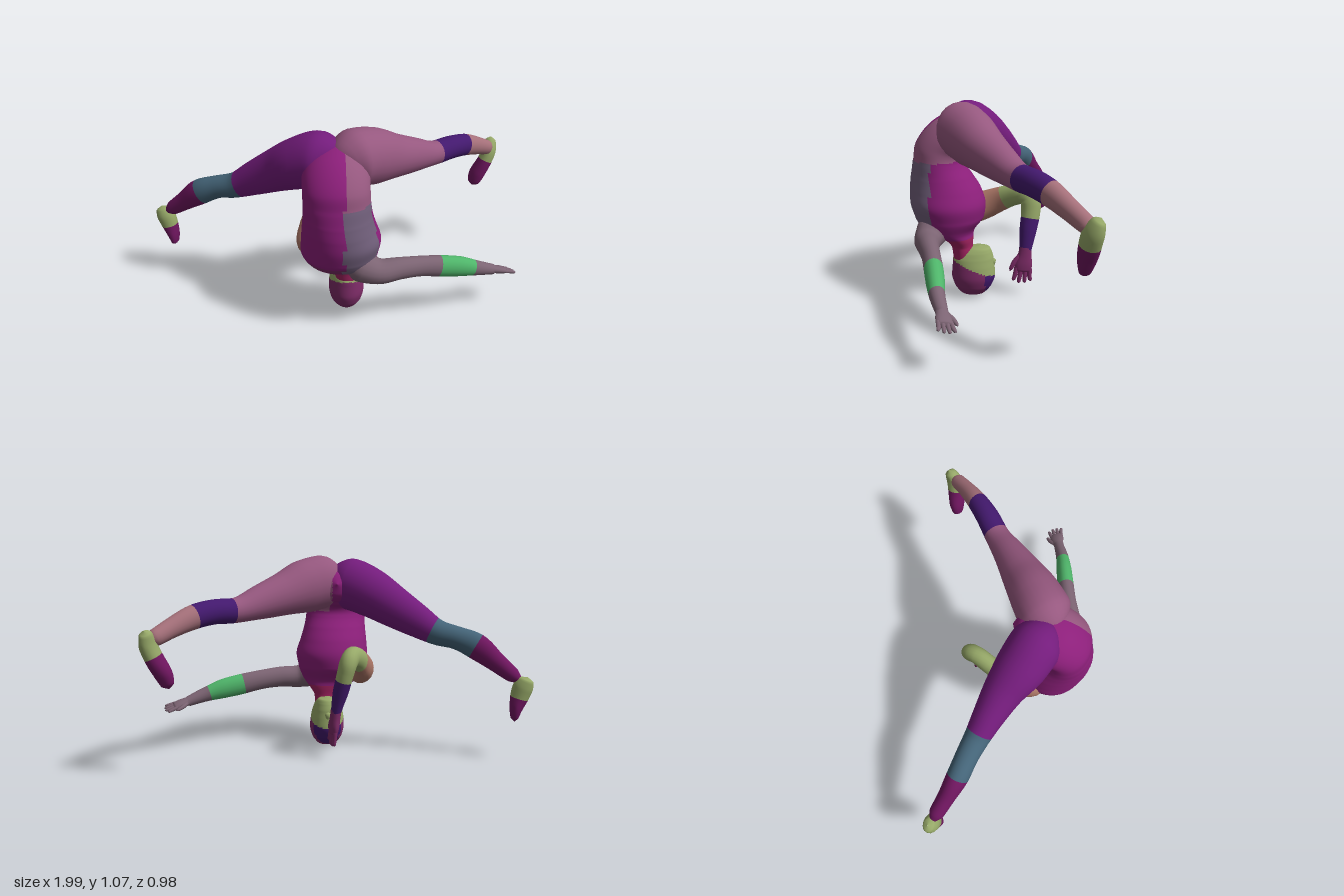
import * as THREE from 'three';

const V = (a) => new THREE.Vector3(a[0], a[1], a[2]);
const C = {
  magenta: 0x8c1f7a, purple: 0x741c7c, mauve: 0x96587f, lavender: 0x72607c, indigo: 0x43196e,
  rose: 0xa5707a, olive: 0x96a868, green: 0x4fb56a, teal: 0x446478, plum: 0x701660,
  taupe: 0x7c6473, clay: 0xae7868, crimson: 0xa0225f, wine: 0x7c2b66,
};
const materials = {};
const material = (key) => (materials[key] ??= new THREE.MeshStandardMaterial({ color: C[key] }));

// Smooth body through elliptical rings [x, y, z, halfWidth, halfDepth, tilt].
// "axis" is the direction of the half widths; pick(point, t) names the colour.
// Rings stand square to the path unless a forward tilt from level is given.
function loft(name, rings, axis, pick, sides = 20, per = 5) {
  const path = new THREE.CatmullRomCurve3(rings.map(V));
  const size = new THREE.CatmullRomCurve3(rings.map((r) => new THREE.Vector3(r[3], r[4], r[5] ?? 0)));
  const tilted = rings[0].length > 5;
  const n = (rings.length - 1) * per;
  const pos = [];
  for (let i = 0; i <= n; i++) {
    const c = path.getPoint(i / n), s = size.getPoint(i / n);
    const t = tilted ? new THREE.Vector3(0, Math.cos(s.z), -Math.sin(s.z)) : path.getTangent(i / n);
    const w = V(axis).addScaledVector(t, -V(axis).dot(t)).normalize();
    const d = new THREE.Vector3().crossVectors(t, w);
    for (let j = 0; j < sides; j++) {
      const a = (j / sides) * Math.PI * 2;
      const p = c.clone()
        .addScaledVector(w, Math.cos(a) * Math.max(s.x, 0.001))
        .addScaledVector(d, Math.sin(a) * Math.max(s.y, 0.001));
      pos.push(p.x, p.y, p.z);
    }
  }
  const faces = {}, all = [];
  const point = (k) => V(pos.slice(k * 3, k * 3 + 3));
  for (let i = 0; i < n; i++) {
    for (let j = 0; j < sides; j++) {
      const k = (j + 1) % sides;
      const a = i * sides + j, b = i * sides + k, c = a + sides, d = b + sides;
      const key = pick(point(a).add(point(d)).multiplyScalar(0.5), (i + 0.5) / n);
      (faces[key] ??= []).push(a, b, c, b, d, c);
      all.push(a, b, c, b, d, c);
    }
  }
  const base = new THREE.BufferGeometry();
  base.setAttribute('position', new THREE.Float32BufferAttribute(pos, 3));
  base.setIndex(all);
  base.computeVertexNormals();
  // One mesh per colour, sharing the smooth normals
  const group = new THREE.Group();
  group.name = name;
  for (const key in faces) {
    const g = base.clone();
    g.setIndex(faces[key]);
    const mesh = new THREE.Mesh(g, material(key));
    mesh.name = `${name} ${key}`;
    group.add(mesh);
  }
  return group;
}

// Palm, four fingers and a thumb
function hand(name, wrist, dir, side, length, key) {
  const group = new THREE.Group();
  group.name = name;
  const o = V(wrist), f = V(dir).normalize();
  const s = V(side).addScaledVector(f, -V(side).dot(f)).normalize();
  const at = (u, v, w, d) => [...o.clone().addScaledVector(f, u * length).addScaledVector(s, v * length).toArray(), w * length, d * length];
  const one = () => key;
  group.add(loft('palm', [at(-0.1, 0, 0.17, 0.15), at(0.15, 0, 0.2, 0.14), at(0.4, 0, 0.25, 0.13),
    at(0.58, 0, 0.23, 0.1), at(0.64, 0, 0, 0)], s.toArray(), one, 14, 4));
  for (let i = 0; i < 4; i++) {
    const v = (i - 1.5) * 0.125, tip = 0.98 - Math.abs(i - 1.6) * 0.06;
    group.add(loft('finger', [at(0.5, v, 0.07, 0.07), at(0.75, v * 1.15, 0.065, 0.06),
      at(tip - 0.04, v * 1.3, 0.05, 0.045), at(tip, v * 1.3, 0, 0)], s.toArray(), one, 8, 3));
  }
  group.add(loft('thumb', [at(0.12, 0.1, 0.08, 0.08), at(0.35, 0.27, 0.075, 0.07),
    at(0.55, 0.35, 0.055, 0.05), at(0.62, 0.37, 0, 0)], s.toArray(), one, 8, 3));
  return group;
}

// Colour bands along a limb: [end, colour] pairs
const bands = (...list) => (p, t) => list.find(([end]) => t <= end)[1];

export function createModel() {
  const model = new THREE.Group();
  model.name = 'invertedFigure';

  // Torso from neck up to pelvis, back towards +z
  model.add(loft('torso', [
    [0.07, 0.22, 0.2, 0.062, 0.055, 0],
    [0.065, 0.285, 0.208, 0.072, 0.058, 0],
    [0.055, 0.33, 0.228, 0.11, 0.08, 0],
    [0.035, 0.375, 0.278, 0.165, 0.138, 0],
    [0.025, 0.44, 0.278, 0.2, 0.186, 0],
    [0.032, 0.52, 0.285, 0.205, 0.202, 0],
    [0.022, 0.6, 0.3, 0.19, 0.191, 0],
    [0.014, 0.67, 0.32, 0.177, 0.165, 0],
    [0.008, 0.74, 0.336, 0.17, 0.137, 0.06],
    [0.005, 0.81, 0.328, 0.168, 0.132, 0.23],
    [0.005, 0.87, 0.272, 0.168, 0.133, 0.55],
    [0.008, 0.905, 0.222, 0.155, 0.122, 0.81],
    [0.012, 0.92, 0.15, 0.12, 0.105, 1.1],
    [0.015, 0.92, 0.085, 0.065, 0.06, 1.35],
    [0.015, 0.92, 0.055, 0, 0, 1.5],
  ], [1, 0, 0], (p) => {
    if (p.y < 0.34) return 'crimson';
    if (p.x < 0.04) return p.y < 0.42 && p.z > 0.3 ? 'wine' : 'magenta';
    if (p.y > 0.76) return 'mauve';
    return p.z > 0.36 ? 'lavender' : 'magenta';
  }, 48, 8));

  // Head, crown down, face towards -z
  const headColor = (p) => (p.y > 0.17 - (0.15 - p.z) * 0.4 ? 'olive' : p.z < 0.08 ? 'indigo' : 'wine');
  model.add(loft('head', [
    [0.07, 0.002, 0.152, 0, 0, 0],
    [0.07, 0.018, 0.151, 0.052, 0.063, 0],
    [0.07, 0.06, 0.149, 0.084, 0.1, 0],
    [0.07, 0.12, 0.147, 0.096, 0.119, 0],
    [0.068, 0.175, 0.147, 0.092, 0.115, 0],
    [0.068, 0.22, 0.147, 0.081, 0.11, 0],
    [0.068, 0.255, 0.137, 0.067, 0.09, 0],
    [0.068, 0.278, 0.118, 0.048, 0.058, 0],
    [0.068, 0.287, 0.112, 0, 0, 0],
  ], [1, 0, 0], headColor, 40, 7));
  model.add(loft('nose', [[0.068, 0.155, 0.05, 0.008, 0.01], [0.068, 0.18, 0.044, 0.014, 0.014],
    [0.068, 0.2, 0.04, 0.018, 0.016], [0.068, 0.214, 0.048, 0, 0]], [1, 0, 0], () => 'olive', 10, 3));

  // Left leg, rising from the hip and out to +x
  model.add(loft('leftLeg', [
    [0.01, 0.905, 0.28, 0.03, 0.03],
    [0.04, 0.918, 0.248, 0.108, 0.098],
    [0.1, 0.925, 0.2, 0.15, 0.14],
    [0.2, 0.903, 0.135, 0.146, 0.132],
    [0.31, 0.868, 0.06, 0.117, 0.112],
    [0.43, 0.832, -0.025, 0.092, 0.087],
    [0.55, 0.798, -0.115, 0.066, 0.066],
    [0.66, 0.796, -0.19, 0.064, 0.062],
    [0.75, 0.778, -0.26, 0.062, 0.055],
    [0.85, 0.732, -0.345, 0.05, 0.045],
    [0.92, 0.693, -0.41, 0.042, 0.04],
    [0.958, 0.68, -0.44, 0, 0],
  ], [0, 1, 0], bands([0.56, 'mauve'], [0.72, 'indigo'], [1, 'rose']), 24));
  model.add(loft('leftFoot', [
    [0.955, 0.735, -0.468, 0, 0],
    [0.952, 0.718, -0.458, 0.03, 0.032],
    [0.945, 0.66, -0.436, 0.04, 0.051],
    [0.918, 0.59, -0.425, 0.043, 0.05],
    [0.882, 0.52, -0.418, 0.046, 0.042],
    [0.864, 0.465, -0.413, 0.034, 0.027],
    [0.858, 0.445, -0.412, 0, 0],
  ], [0.85, 0, 0.35], bands([0.45, 'olive'], [1, 'plum']), 16));

  // Right leg, lower and out to -x
  model.add(loft('rightLeg', [
    [0.02, 0.905, 0.26, 0.03, 0.03],
    [-0.01, 0.917, 0.228, 0.108, 0.098],
    [-0.075, 0.913, 0.185, 0.145, 0.135],
    [-0.18, 0.867, 0.13, 0.135, 0.13],
    [-0.29, 0.8, 0.065, 0.115, 0.105],
    [-0.41, 0.728, 0.01, 0.093, 0.083],
    [-0.52, 0.665, -0.035, 0.07, 0.067],
    [-0.62, 0.638, -0.07, 0.063, 0.06],
    [-0.72, 0.595, -0.1, 0.071, 0.058],
    [-0.82, 0.515, -0.145, 0.053, 0.046],
    [-0.9, 0.45, -0.185, 0.04, 0.04],
    [-0.955, 0.41, -0.21, 0, 0],
  ], [0, 1, 0], bands([0.52, 'purple'], [0.72, 'teal'], [1, 'plum']), 24));
  model.add(loft('rightFoot', [
    [-0.97, 0.445, -0.22, 0, 0],
    [-0.965, 0.43, -0.217, 0.04, 0.03],
    [-0.948, 0.385, -0.208, 0.054, 0.042],
    [-0.932, 0.33, -0.204, 0.048, 0.042],
    [-0.917, 0.27, -0.202, 0.033, 0.045],
    [-0.912, 0.222, -0.2, 0.02, 0.036],
    [-0.912, 0.202, -0.2, 0, 0],
  ], [1, 0, 0.2], bands([0.5, 'olive'], [1, 'plum']), 16));

  // Left arm, straight out to +x
  model.add(loft('leftArm', [
    [0.06, 0.41, 0.34, 0.04, 0.04],
    [0.13, 0.39, 0.355, 0.085, 0.088],
    [0.22, 0.362, 0.37, 0.066, 0.072],
    [0.33, 0.363, 0.35, 0.06, 0.055],
    [0.45, 0.352, 0.317, 0.057, 0.047],
    [0.57, 0.33, 0.288, 0.06, 0.047],
    [0.66, 0.312, 0.268, 0.057, 0.045],
    [0.76, 0.284, 0.245, 0.042, 0.037],
    [0.86, 0.25, 0.21, 0.028, 0.029],
  ], [0, 1, 0], bands([0.6, 'taupe'], [0.84, 'green'], [1, 'taupe']), 18));
  model.add(hand('leftHand', [0.845, 0.256, 0.215], [0.14, -0.043, -0.045], [-0.33, -0.25, -0.9], 0.16, 'taupe'));

  // Right arm, forward to -z and bent down at the elbow
  model.add(loft('rightArm', [
    [-0.08, 0.42, 0.24, 0.05, 0.05],
    [-0.12, 0.435, 0.18, 0.078, 0.085],
    [-0.125, 0.46, 0.1, 0.062, 0.08],
    [-0.11, 0.497, 0.02, 0.05, 0.07],
    [-0.08, 0.532, -0.06, 0.048, 0.06],
    [-0.05, 0.545, -0.12, 0.048, 0.056],
    [-0.03, 0.522, -0.158, 0.048, 0.057],
    [-0.012, 0.46, -0.162, 0.045, 0.053],
    [0.01, 0.37, -0.15, 0.042, 0.048],
    [0.028, 0.29, -0.14, 0.032, 0.038],
    [0.038, 0.23, -0.132, 0.024, 0.032],
  ], [1, 0, 0], bands([0.33, 'clay'], [0.74, 'olive'], [1, 'indigo']), 18));
  model.add(hand('rightHand', [0.036, 0.25, -0.135], [0.025, -0.19, 0.02], [0.25, 0, 0.97], 0.195, 'wine'));

  return model;
}
